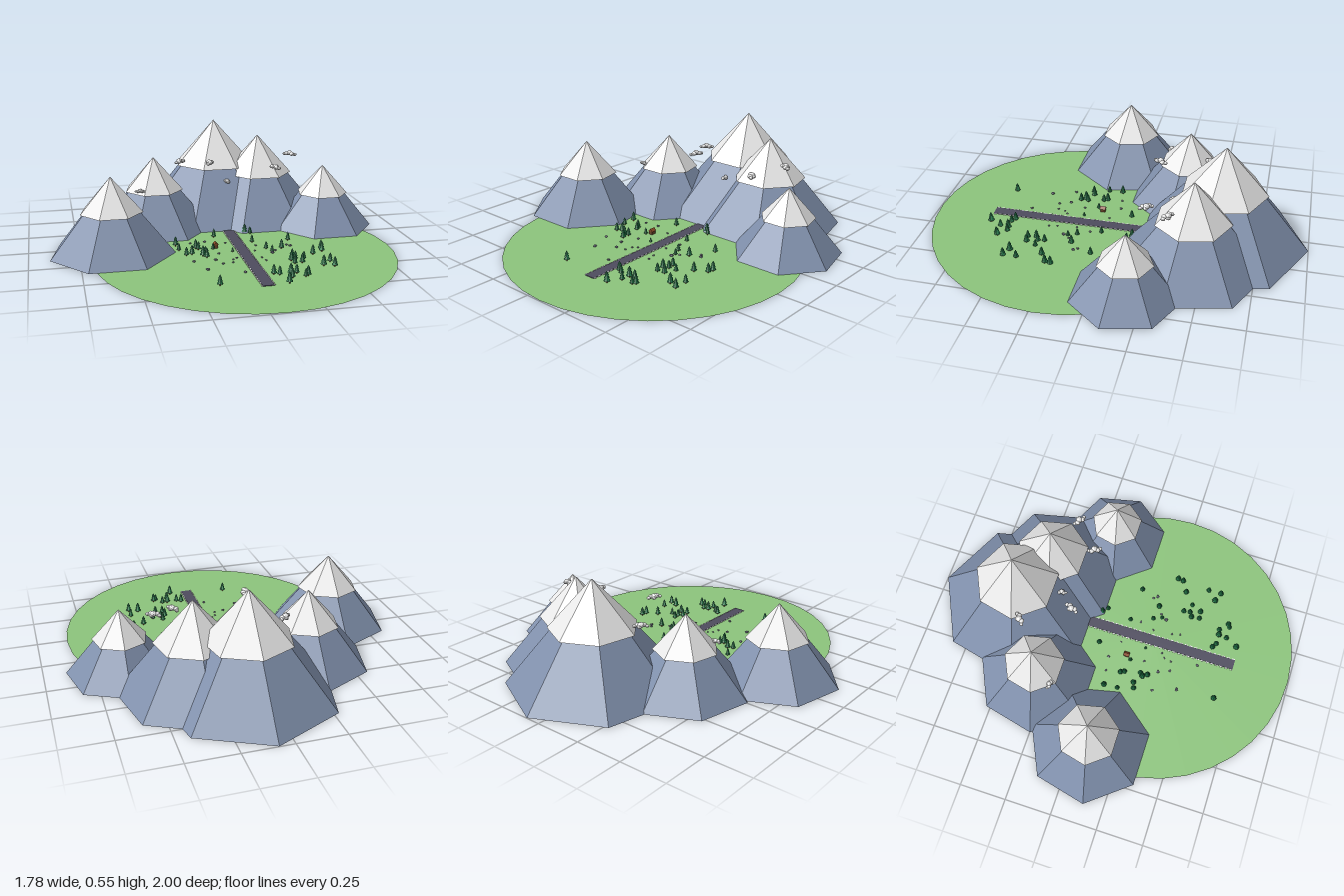
import * as THREE from 'three';

function mat(name, color, double = false) {
  const m = new THREE.MeshStandardMaterial({ color, flatShading: true });
  m.name = name;
  if (double) m.side = THREE.DoubleSide;
  return m;
}

function add(parent, name, geometry, material, x = 0, y = 0, z = 0) {
  const mesh = new THREE.Mesh(geometry, material);
  mesh.name = name;
  mesh.position.set(x, y, z);
  parent.add(mesh);
  return mesh;
}

function group(parent, name, x = 0, y = 0, z = 0) {
  const g = new THREE.Group();
  g.name = name;
  g.position.set(x, y, z);
  parent.add(g);
  return g;
}

export function createModel() {
  const root = new THREE.Group();
  root.name = 'mountainValley';
  const grass = mat('grass green', 0x8cc47c, true);
  const rock = mat('mountain slate', 0x8090ac);
  const snow = mat('snow white', 0xf2f2f2);
  const asphalt = mat('road grey', 0x4e4c5e);
  const pine = mat('pine green', 0x237a4b);
  const bark = mat('bark brown', 0x6b4428);
  const stone = mat('stone grey', 0x77788a);
  const cloudWhite = mat('cloud white', 0xe6e6e6);
  const roofRed = mat('roof brown', 0x8a4a26);

  // Meadow disc
  const MX = 0.077;
  add(root, 'meadow', new THREE.CircleGeometry(0.767, 36), grass, MX, 0, 0.23).rotation.x = -Math.PI / 2;

  // Seven-sided mountains, each with an overhanging snow cap: x, z, radius, height
  const peaks = [
    [0.077, -0.55, 0.45, 0.55],
    [0.31, -0.43, 0.387, 0.475],
    [-0.31, -0.32, 0.323, 0.397],
    [-0.58, 0.07, 0.324, 0.397],
    [0.616, -0.16, 0.278, 0.343],
  ];
  for (const [x, z, r, h] of peaks) {
    const g = group(root, 'mountain', x, 0.001, z);
    add(g, 'slopes', new THREE.ConeGeometry(r, h - 0.004, 7, 1, false, Math.PI), rock, 0, h / 2 - 0.002, 0);
    const capH = h * 0.457;
    add(g, 'snowCap', new THREE.ConeGeometry(r * 0.503, capH, 7, 1, false, Math.PI), snow, 0, h - capH / 2, 0);
  }

  // Road with dashed edge markings
  add(root, 'road', new THREE.BoxGeometry(0.056, 0.003, 0.86), asphalt, MX, 0.0025, 0.26);
  const dash = new THREE.BoxGeometry(0.005, 0.003, 0.016);
  for (const side of [-1, 1]) {
    for (let z = -0.13; z < 0.685; z += 0.027) {
      add(root, 'roadDash', dash, snow, MX + side * 0.031, 0.003, z);
    }
  }

  // Pine trees: x, z, scale
  const trees = [
    [0.35, 0.08, 0.9], [0.28, 0.2, 1], [0.41, 0.32, 1], [0.475, 0.255, 1], [0.47, 0.285, 1],
    [0.295, 0.34, 0.9], [0.275, 0.39, 1], [0.3, 0.375, 0.9], [0.32, 0.43, 1], [0.28, 0.435, 0.9],
    [0.345, 0.375, 0.8], [0.46, 0.44, 0.9], [0.41, 0.49, 1.1], [0.46, 0.51, 1], [0.14, 0.55, 1],
    [0.165, 0.565, 0.9], [0.22, 0.565, 1.1], [0.25, 0.56, 0.9], [0.295, 0.6, 1], [0.28, 0.61, 0.8],
    [0.18, 0.675, 1.1], [0.215, 0.61, 0.9], [0.155, -0.095, 1], [0.18, -0.07, 0.8], [0.2, 0.19, 0.8],
    [0.155, 0.07, 0.8], [-0.14, 0.635, 1], [-0.155, 0.11, 1], [-0.145, 0.13, 0.9], [-0.19, 0.195, 1],
    [-0.22, 0.205, 0.9], [-0.14, 0.23, 1.1], [-0.125, 0.215, 0.9], [-0.125, 0.255, 1], [-0.25, 0.045, 1],
    [-0.025, -0.055, 0.9], [-0.07, 0.14, 0.7], [-0.245, 0.12, 0.8], [0.22, 0.235, 0.7], [0.02, 0.2, 0.5],
  ];
  const trunk = new THREE.CylinderGeometry(0.003, 0.0035, 0.014, 6);
  const tiers = [[0.0155, 0.024, 0.022], [0.0125, 0.021, 0.034], [0.009, 0.018, 0.046]]
    .map(([r, h, y]) => [new THREE.ConeGeometry(r, h, 8), y]);
  for (const [x, z, s] of trees) {
    const g = group(root, 'pineTree', x, 0, z);
    g.scale.setScalar(s);
    add(g, 'trunk', trunk, bark, 0, 0.007, 0);
    for (const [geo, y] of tiers) add(g, 'foliage', geo, pine, 0, y, 0);
  }

  // Scattered boulders: x, z, radius
  const boulders = [
    [-0.155, 0.43, 0.01], [0.013, 0.5, 0.008], [-0.065, 0.365, 0.008], [-0.003, 0.315, 0.006],
    [-0.2, 0.305, 0.008], [-0.09, 0.305, 0.009], [-0.012, 0.355, 0.006], [0.02, 0.295, 0.006],
    [0.155, 0.36, 0.006], [0.215, 0.26, 0.01], [0.335, 0.175, 0.009], [0.32, 0.155, 0.007],
    [0.16, 0.13, 0.007], [0.013, 0.06, 0.006], [-0.055, 0.215, 0.007], [0.135, 0.21, 0.006],
    [0.24, 0.225, 0.007], [0.145, 0.315, 0.006], [-0.09, 0.02, 0.008], [-0.17, 0.03, 0.007],
  ];
  const boulder = new THREE.DodecahedronGeometry(1);
  boulders.forEach(([x, z, r], i) => {
    const m = add(root, 'boulder', boulder, stone, x, r * 0.6, z);
    m.scale.set(r, r * 0.7, r);
    m.rotation.y = i * 1.3;
  });

  // Cabin with a gable roof
  const cabin = group(root, 'cabin', -0.05, 0, 0.112);
  add(cabin, 'walls', new THREE.BoxGeometry(0.02, 0.018, 0.026), bark, 0, 0.009, 0);
  const gable = new THREE.Shape([[-0.014, 0], [0.014, 0], [0, 0.014]].map(p => new THREE.Vector2(...p)));
  add(cabin, 'roof', new THREE.ExtrudeGeometry(gable, { depth: 0.032, bevelEnabled: false }), roofRed, 0, 0.018, -0.016);

  // Clouds made of overlapping puffs: x, y, z, heading x, heading z, scale
  const clouds = [
    [-0.4, 0.24, -0.2, 1, 0.25, 0.75],
    [-0.14, 0.335, -0.45, 0.75, -0.6, 1],
    [-0.015, 0.378, -0.205, 0.45, -0.9, 1],
    [0.105, 0.24, -0.31, 0.1, 1, 0.75],
    [0.355, 0.335, -0.205, 0.45, 0.9, 1],
    [0.475, 0.378, -0.33, 0.8, 0.6, 1],
  ];
  const puffs = [[-0.03, -0.002, 0, 0.01], [-0.015, 0.002, 0.006, 0.014], [0, 0.004, -0.003, 0.017],
    [0.016, 0.001, 0.005, 0.014], [0.031, -0.002, -0.002, 0.011], [0.006, -0.002, -0.011, 0.012]];
  const puff = new THREE.IcosahedronGeometry(1, 1);
  for (const [x, y, z, hx, hz, s] of clouds) {
    const g = group(root, 'cloud', x, y, z);
    g.rotation.y = Math.atan2(-hz, hx);
    g.scale.setScalar(s);
    for (const [px, py, pz, r] of puffs) add(g, 'puff', puff, cloudWhite, px, py, pz).scale.set(r, r * 0.8, r);
  }
  return root;
}
